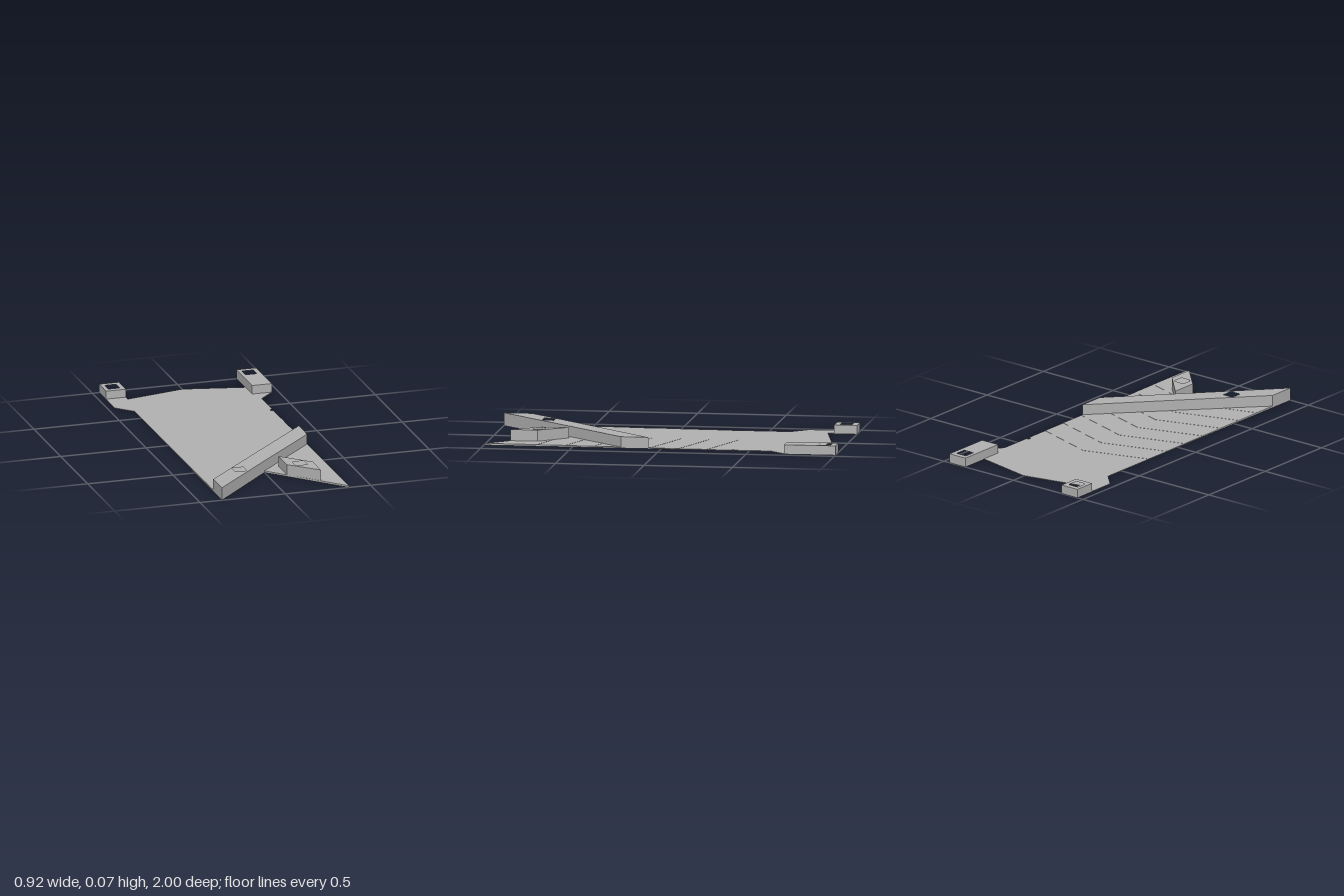
import * as THREE from 'three';

export function createModel() {
  const model = new THREE.Group();
  const grey = new THREE.MeshStandardMaterial({ color: 0xb0b0b0 });
  const HALF = 0.372;

  // Extrudes a plan outline of [x, z] points upward, with square holes
  function slab(name, points, holes, y0, y1) {
    const plan = ([x, z]) => new THREE.Vector2(x, -z);
    const shape = new THREE.Shape(points.map(plan));
    const r = 0.033;
    for (const [x, z] of holes) {
      const corners = [[x - r, z - r], [x + r, z - r], [x + r, z + r], [x - r, z + r]];
      shape.holes.push(new THREE.Path(corners.map(plan)));
    }
    const geometry = new THREE.ExtrudeGeometry(shape, { depth: y1 - y0, bevelEnabled: false });
    geometry.rotateX(-Math.PI / 2);
    geometry.translate(0, y0, 0);
    const mesh = new THREE.Mesh(geometry, grey);
    mesh.name = name;
    model.add(mesh);
    return mesh;
  }

  // Tilts the top face so its height follows x
  function slopeTop(mesh, y0, heightAt) {
    const p = mesh.geometry.attributes.position;
    for (let i = 0; i < p.count; i++) {
      if (p.getY(i) > y0 + 0.01) p.setY(i, heightAt(p.getX(i)));
    }
    mesh.geometry.computeVertexNormals();
  }

  const frontHoles = [[-0.18, 0.715], [0.175, 0.715]];
  const rearHoles = [[-0.405, -0.935], [0.4, -0.935]];

  // Base plate with shoulders, swallowtail front and a small side nick
  slab('basePlate', [
    [0, -0.91], [0.345, -0.835], [0.345, -1], [0.46, -1], [0.46, -0.71], [HALF, -0.62],
    [HALF, -0.425], [0.357, -0.425], [0.357, -0.402], [HALF, -0.402],
    [HALF, 1], [0, 0.61], [-HALF, 1],
    [-HALF, -0.62], [-0.46, -0.71], [-0.46, -1], [-0.345, -1], [-0.345, -0.835],
  ], [...frontHoles, ...rearHoles], 0, 0.003);

  // Very thin chevron steps that thicken the plate toward the front
  for (let i = 0; i < 7; i++) {
    const z = -0.26 + 0.16 * i;
    const y = 0.003 + 0.001 * i;
    slab('chevronStep' + (i + 1), [
      [0, z - 0.12], [HALF, z], [HALF, 1], [0, 0.61], [-HALF, 1], [-HALF, z],
    ], frontHoles, y, y + 0.001);
  }

  // Rear corner blocks
  slab('rearBlockLeft', [[0.345, -1], [0.46, -1], [0.46, -0.71], [0.345, -0.71]],
    [rearHoles[1]], 0.003, 0.053);
  slab('rearBlockRight', [[-0.46, -1], [-0.345, -1], [-0.345, -0.87], [-0.46, -0.87]],
    [rearHoles[0]], 0.003, 0.05);

  // Diagonal bar across the front
  const bar = slab('diagonalBar', [
    [HALF, 0.07], [HALF, 0.225], [0, 0.61], [-HALF, 1], [-HALF, 0.84],
  ], [frontHoles[0]], 0.003, 0.07);
  slopeTop(bar, 0.003, (x) => 0.069 - 0.0115 * x);

  // Short block on the other front tail
  const block = slab('frontBlock', [[0.1, 0.56], [0.25, 0.715], [0.25, 0.868], [0.1, 0.715]],
    [frontHoles[1]], 0.01, 0.07);
  slopeTop(block, 0.01, (x) => 0.068 + 0.02 * x);

  return model;
}
